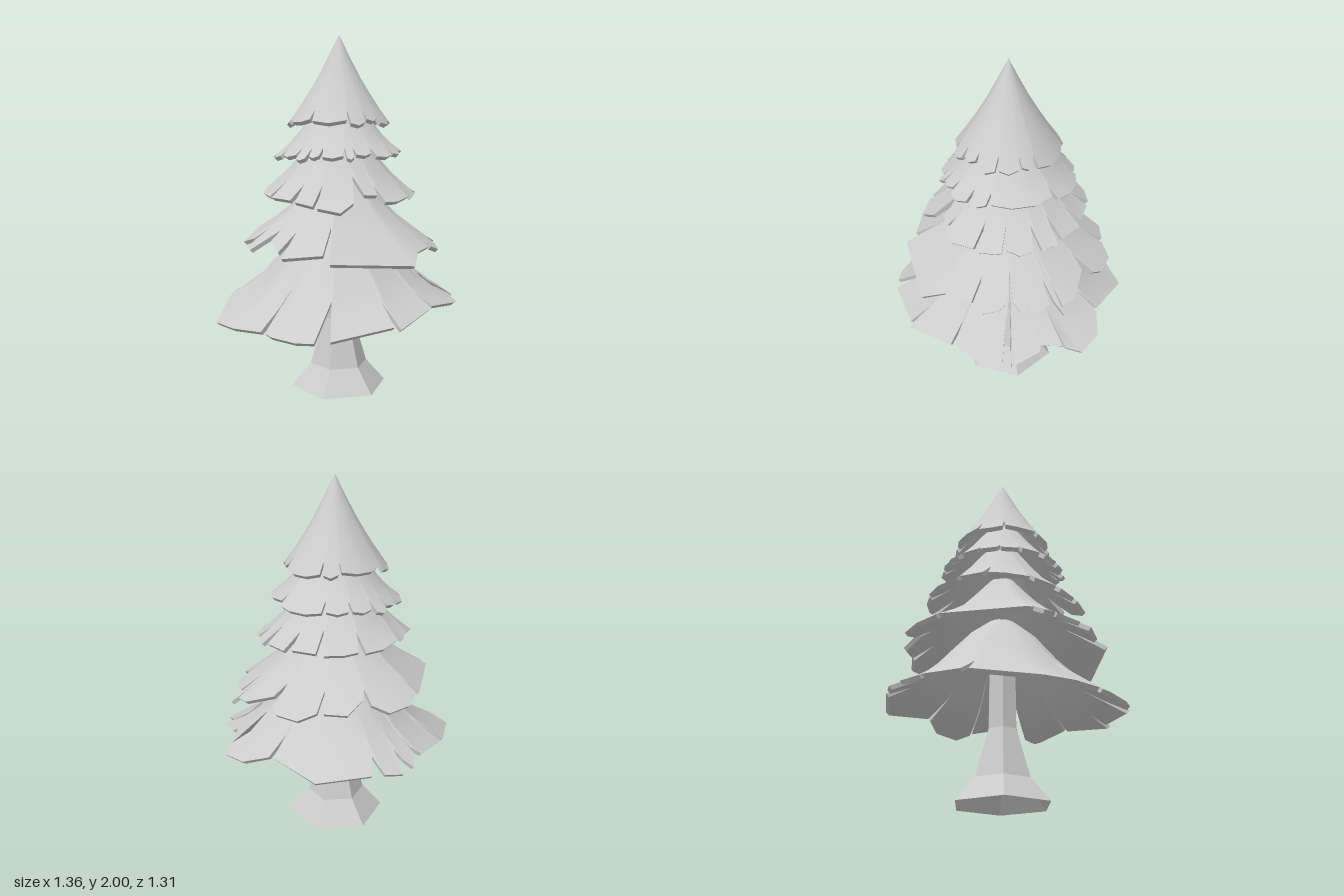
import * as THREE from 'three';

const AXIS_X = 0.033;   // the tree axis sits slightly off centre
const THICK = 0.025;    // thickness of a branch skirt

// Height at radius r along a profile of [radius, height] points
function heightAt(profile, r) {
  let k = 0;
  while (k < profile.length - 2 && r > profile[k + 1][0]) k++;
  const [r0, y0] = profile[k], [r1, y1] = profile[k + 1];
  return y0 + (y1 - y0) * (r - r0) / (r1 - r0);
}

// Rim of petals, split by narrow notches at the given angles (degrees)
function petalRim(notches, radius, depth) {
  const rim = [];
  notches.forEach((a, i) => {
    const span = (notches[(i + 1) % notches.length] - a + 360) % 360;
    const add = (deg, r) => {
      const t = THREE.MathUtils.degToRad(deg);
      rim.push(r * Math.cos(t), r * Math.sin(t));
    };
    const R = radius * (1 + 0.03 * Math.sin(i * 2.4));
    const gap = Math.min(2, span * 0.12);
    add(a, radius - depth);
    add(a + gap, R * 0.96);
    const n = Math.max(2, Math.round(span / 18));
    for (let j = 1; j < n; j++) add(a + span * j / n, R);
    add(a + span - gap, R * 0.97);
  });
  return rim;
}

// Closed skirt: upper shell, lower shell and an undercut edge round the rim
function skirtGeometry(rim, profile, tiltX, tiltZ) {
  const n = rim.length / 2, steps = [0, 0.2, 0.4, 0.6, 0.8, 1], rows = steps.length;
  const pos = [], index = [], rInner = profile[0][0];
  const point = (i, f, drop) => {
    const x = rim[2 * i], z = rim[2 * i + 1], a = Math.atan2(z, x);
    const r = rInner + (Math.hypot(x, z) - rInner) * f;
    const y = heightAt(profile, r) - tiltX * r * Math.cos(a) - tiltZ * r * Math.sin(a);
    const inset = Math.max(0, r - drop * 0.7);   // offset square to the slope
    return [inset * Math.cos(a), y - drop * 0.7, inset * Math.sin(a)];
  };
  for (const drop of [0, THICK]) {
    const base = pos.length / 3;
    for (let i = 0; i < n; i++) for (const f of steps) pos.push(...point(i, f, drop));
    for (let i = 0; i < n; i++) for (let k = 0; k < rows - 1; k++) {
      const a = base + i * rows + k, c = base + ((i + 1) % n) * rows + k;
      if (drop) index.push(a, a + 1, c, c, a + 1, c + 1);
      else index.push(a, c, a + 1, c, c + 1, a + 1);
    }
  }
  for (let i = 0; i < n; i++) {
    const j = (i + 1) % n, b = pos.length / 3;
    pos.push(...point(i, 1, 0), ...point(j, 1, 0), ...point(i, 1, THICK), ...point(j, 1, THICK));
    index.push(b, b + 1, b + 2, b + 1, b + 3, b + 2);
  }
  const g = new THREE.BufferGeometry();
  g.setAttribute('position', new THREE.Float32BufferAttribute(pos, 3));
  g.setIndex(index);
  g.computeVertexNormals();
  return g;
}

// Rims as x, z pairs round the axis, from the left side towards the front
const bottomRim = [
  .59, -.17, .57, -.05, .60, -.04, .645, .13, .52, .10, .35, .075, .51, .14, .61, .17, .63, .23, .60, .27,
  .43, .40, .335, .335, .42, .42, .19, .625, .13, .46, .16, .61, -.18, .66, -.13, .44, -.26, .645,
  -.345, .61, -.455, .515, -.48, .47, -.32, .30, -.50, .45, -.63, .315, -.71, .16, -.605, -.18,
  -.43, -.145, -.58, -.22, -.43, -.41, -.375, -.385, -.32, -.34, -.39, -.43, -.365, -.525, -.32, -.49,
  -.27, -.43, -.30, -.585, -.20, -.605, -.145, -.50, -.13, -.62, .165, -.65, .37, -.44, .28, -.32,
  .395, -.425, .535, -.39, .63, -.27, .60, -.185, .40, -.12];
const lowerRim = [
  .59, -.17, .53, -.13, .42, -.09, .54, -.10, .56, -.02, .55, .06, .50, .09, .36, .075, .50, .12, .52, .17,
  .51, .255, .46, .28, .34, .22, .44, .30, .335, .425, .285, .545, -.165, .57, -.115, .35, -.19, .51,
  -.39, .445, -.29, .30, -.40, .39, -.42, .27, -.36, .22, -.53, .245, -.54, .19, -.40, .13, -.50, .14,
  -.55, .10, -.42, -.34, -.33, -.28, -.40, -.36, -.345, -.46, -.23, -.53, -.14, -.50, -.11, -.41,
  -.10, -.47, -.01, -.555, .11, -.53, .095, -.41, .145, -.52, .245, -.53, .35, -.45, .365, -.40,
  .28, -.29, .36, -.33, .51, -.25, .55, -.17, .42, -.125];
const middleRim = [
  .43, -.03, .44, .04, .40, .10, .30, .08, .41, .13, .36, .24, .25, .18, .33, .26, .24, .36, .17, .39,
  .125, .30, .13, .36, .06, .37, .015, .28, -.01, .42, -.09, .47, -.20, .41, -.15, .29, -.22, .39,
  -.30, .31, -.23, .225, -.32, .28, -.40, .16, -.28, .105, -.41, .13, -.43, 0, -.40, -.09, -.28, -.075,
  -.38, -.12, -.34, -.24, -.24, -.18, -.31, -.26, -.22, -.37, -.12, -.42, -.08, -.31, -.08, -.42,
  0, -.44, .10, -.43, .09, -.30, .14, -.41, .26, -.34, .20, -.25, .30, -.32, .38, -.20, .27, -.135,
  .41, -.17, .43, -.08, .32, -.045];
const upperRim = petalRim([30, 48, 70, 88, 96, 118, 130, 142, 165, 185, 205, 225, 240, 262, 285, 330], .365, .07);
const topRim = petalRim([0, 25, 50, 70, 91, 135, 180, 212, 270, 290, 342], .285, .05);

const tiers = [
  ['bottomBranches', bottomRim, [[.08, 1.03], [.2, .93], [.31, .8], [.39, .69], [.52, .585], [.71, .49]], -.03, .05],
  ['lowerBranches', lowerRim, [[.08, 1.29], [.18, 1.17], [.25, 1.08], [.39, .965], [.57, .85]], .04, .02],
  ['middleBranches', middleRim, [[.08, 1.52], [.17, 1.4], [.25, 1.29], [.34, 1.195], [.47, 1.105]], 0, .06],
  ['upperBranches', upperRim, [[.08, 1.66], [.15, 1.57], [.24, 1.45], [.3, 1.39], [.38, 1.33]], -.03, 0],
  ['topBranches', topRim, [[0, 2], [.1, 1.8], [.2, 1.635], [.29, 1.51]], 0, 0],
];

export function createModel() {
  const tree = new THREE.Group();
  tree.name = 'pineTree';
  const grey = new THREE.MeshStandardMaterial({ color: 0xcccccc, side: THREE.DoubleSide });
  grey.name = 'lightGrey';

  // Six-sided flared trunk, open at the foot, corners pointing to the sides
  const outline = [[.277, 0], [.165, .13], [.085, .4], [.08, .95]];
  const lathe = new THREE.LatheGeometry(outline.map(([r, y]) => new THREE.Vector2(r, y)), 6, Math.PI / 2);
  const trunkGeometry = lathe.toNonIndexed();
  trunkGeometry.computeVertexNormals();
  const trunk = new THREE.Mesh(trunkGeometry, grey);
  trunk.name = 'trunk';
  trunk.position.x = AXIS_X;
  tree.add(trunk);

  // Five overlapping skirts of branches
  for (const [name, rim, profile, tiltX, tiltZ] of tiers) {
    const skirt = new THREE.Mesh(skirtGeometry(rim, profile, tiltX, tiltZ), grey);
    skirt.name = name;
    skirt.position.x = AXIS_X;
    tree.add(skirt);
  }
  return tree;
}
